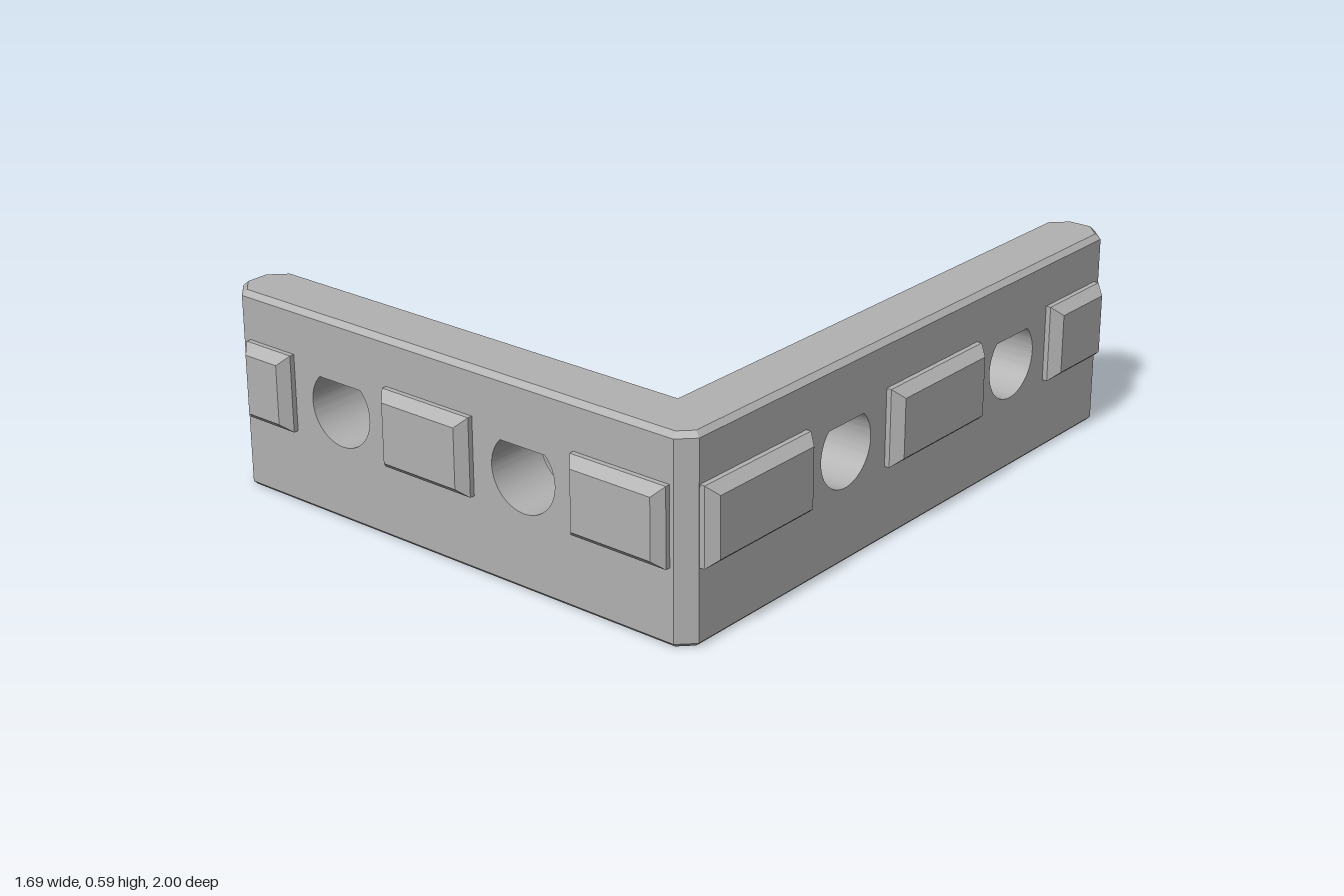
import * as THREE from 'three';
import { toCreasedNormals } from 'three/addons/utils/BufferGeometryUtils.js';

const HOLE_Y = 0.333, HOLE_R = 0.11, RELIEF_R = 0.2, THICK = 0.19;
const FRONT_HOLES = [-0.415, 0.253], SIDE_HOLES = [0.298, -0.49]; // x positions, z positions
const Y0 = 0.012, Y1 = 0.575, TOP = 0.59;

const grey = new THREE.MeshStandardMaterial({ color: 0xb2b2b2 });
grey.name = 'light grey';

function mesh(name, geometry) {
  const m = new THREE.Mesh(geometry, grey);
  m.name = name;
  return m;
}

function fromTriangles(pos, crease) {
  const g = new THREE.BufferGeometry();
  g.setAttribute('position', new THREE.Float32BufferAttribute(pos, 3));
  g.computeVertexNormals();
  return crease ? toCreasedNormals(g, crease) : g;
}

// Stacks matching [x, z] outlines at given heights into a closed solid
function loft(levels) {
  const pos = [];
  const rings = levels.map(([y, pts]) => {
    const v = pts.map(p => new THREE.Vector2(...p));
    if (THREE.ShapeUtils.isClockWise(v)) v.reverse();
    return v.map(p => [p.x, y, p.y]);
  });
  const n = rings[0].length;
  for (let l = 0; l + 1 < rings.length; l++)
    for (let i = 0; i < n; i++) {
      const j = (i + 1) % n, lo = rings[l], hi = rings[l + 1];
      pos.push(...lo[i], ...hi[i], ...hi[j], ...lo[i], ...hi[j], ...lo[j]);
    }
  const last = rings[rings.length - 1];
  const flat = r => r.map(p => new THREE.Vector2(p[0], p[2]));
  for (const [a, b, c] of THREE.ShapeUtils.triangulateShape(flat(rings[0]), []))
    pos.push(...rings[0][a], ...rings[0][b], ...rings[0][c]);
  for (const [a, b, c] of THREE.ShapeUtils.triangulateShape(flat(last), []))
    pos.push(...last[a], ...last[c], ...last[b]);
  return fromTriangles(pos);
}

// L-shaped footprint with chamfered corners, shrunk by d
function footprint(d) {
  const x0 = -0.845 + d, xi = 0.61 + d, x1 = 0.8 - d;
  const z0 = -1 + d, zi = 0.765 + d, z1 = 0.955 - d;
  const c = 0.055 - 0.586 * d, k = 0.045 - 0.586 * d;
  return [[x0 + c, zi], [xi, zi], [xi, z0 + c], [xi + c, z0], [x1 - c, z0], [x1, z0 + c],
    [x1, z1 - k], [x1 - k, z1], [x0 + c, z1], [x0, z1 - c], [x0, zi + c]];
}

// Wall plate with teardrop holes and raised lugs, outer face towards +z
function wall(name, u0, u1, outer, holes, lugs) {
  const group = new THREE.Group();
  group.name = name;
  const shape = new THREE.Shape([[u0, Y0], [u1, Y0], [u1, Y1], [u0, Y1]].map(p => new THREE.Vector2(...p)));
  for (const u of holes) {
    const hole = new THREE.Path();
    hole.moveTo(u, HOLE_Y + HOLE_R * Math.SQRT2);
    hole.absarc(u, HOLE_Y, HOLE_R, Math.PI * 0.75, Math.PI * 2.25, false);
    shape.holes.push(hole);
  }
  const plate = new THREE.ExtrudeGeometry(shape, { depth: THICK, bevelEnabled: false, curveSegments: 36 });
  plate.translate(0, 0, outer - THICK);
  group.add(mesh('plate', toCreasedNormals(plate, 0.5)));

  for (const [a, b] of lugs) {
    const rect = d => [[a + d, -0.45 + d], [b - d, -0.45 + d], [b - d, -0.222 - d], [a + d, -0.222 - d]];
    const g = loft([[-0.01, rect(0)], [0.015, rect(0)], [0.045, rect(0.026)]]);
    g.rotateX(Math.PI / 2).translate(0, 0, outer);
    group.add(mesh('lug', g));
  }
  return group;
}

// Curved corner web, hollowed by round reliefs in line with every hole
function gussetGeometry() {
  const curve = new THREE.SplineCurve([
    [-0.8, 0.773], [-0.76, 0.766], [-0.615, 0.735], [-0.447, 0.683], [-0.21, 0.582], [-0.07, 0.487],
    [0.08, 0.335], [0.165, 0.2], [0.29, -0.06], [0.405, -0.344], [0.537, -0.7], [0.61, -0.895], [0.65, -1]
  ].map(p => new THREE.Vector2(...p))).getPoints(600);
  const edgeZ = x => {
    const i = Math.max(1, curve.findIndex(p => p.x >= x)), a = curve[i - 1], b = curve[i];
    return a.y + (b.y - a.y) * (x - a.x) / (b.x - a.x);
  };
  const relief = (t, centres) => centres.reduce((h, c) =>
    Math.min(h, HOLE_Y - Math.sqrt(Math.max(0, RELIEF_R ** 2 - (t - c) ** 2))), HOLE_Y);
  const height = (x, z) => Math.min(relief(x, FRONT_HOLES), relief(z, SIDE_HOLES));

  // Sample lines gather at the relief rims
  const samples = (centres, lo, hi, step) => {
    const list = [];
    for (const c of centres)
      for (let k = -24; k <= 24; k++) list.push(c + RELIEF_R * Math.sin(k / 48 * Math.PI));
    for (let t = lo; t < hi; t += step)
      if (centres.every(c => Math.abs(t - c) > RELIEF_R + 0.002)) list.push(t);
    list.push(hi);
    return list.sort((a, b) => a - b);
  };
  const zMax = 0.79;
  const xs = samples(FRONT_HOLES, -0.76, 0.63, 0.008);
  const zs = samples(SIDE_HOLES, -0.95, zMax, 0.03);
  const columns = xs.map(x => {
    const e = edgeZ(x);
    return zs.map(z => { const w = Math.max(z, e); return [x, height(x, w), w]; });
  });

  const pos = [];
  const tri = (a, b, c) => {
    const area = (b[2] - a[2]) * (c[0] - a[0]) - (b[0] - a[0]) * (c[2] - a[2]);
    if (area > 1e-9) pos.push(...a, ...b, ...c);
  };
  for (let i = 0; i + 1 < xs.length; i++) {
    const p = columns[i], q = columns[i + 1];
    // Upper surface, split along the higher diagonal to keep ridges crisp
    for (let k = 0; k + 1 < zs.length; k++) {
      const a = p[k], b = p[k + 1], c = q[k + 1], d = q[k];
      if (a[1] + c[1] >= b[1] + d[1]) { tri(a, b, c); tri(a, c, d); }
      else { tri(a, b, d); tri(b, c, d); }
    }
    // Curved outer side and underside
    const low = v => [v[0], 0, v[2]];
    const a = low(p[0]), b = low(q[0]), c = [xs[i + 1], 0, zMax], d = [xs[i], 0, zMax];
    pos.push(...a, ...p[0], ...q[0], ...a, ...q[0], ...b);
    pos.push(...a, ...b, ...c, ...a, ...c, ...d);
  }
  return fromTriangles(pos, 0.5);
}

export function createModel() {
  const model = new THREE.Group();
  model.name = 'cornerBracket';

  // Two walls; the side wall is turned so its outer face looks along +x
  model.add(wall('frontWall', -0.79, 0.755, 0.955, FRONT_HOLES,
    [[-0.765, -0.592], [-0.237, 0.077], [0.428, 0.743]]));
  const side = wall('sideWall', -0.91, 0.945, 0.8, SIDE_HOLES.map(z => -z),
    [[-0.908, -0.474], [-0.12, 0.31], [0.663, 0.922]]);
  side.rotation.y = Math.PI / 2;
  model.add(side);

  // Chamfered wall ends and outer corner
  const post = (name, pts) => model.add(mesh(name, loft([[Y0, pts], [Y1, pts]])));
  post('frontWallEnd', [[-0.77, 0.765], [-0.79, 0.765], [-0.845, 0.82], [-0.845, 0.9], [-0.79, 0.955], [-0.77, 0.955]]);
  post('sideWallEnd', [[0.61, -0.93], [0.61, -0.945], [0.665, -1], [0.745, -1], [0.8, -0.945], [0.8, -0.93]]);
  post('outerCorner', [[0.7, 0.955], [0.755, 0.955], [0.8, 0.91], [0.8, 0.86], [0.7, 0.86]]);

  // Bevelled rims
  model.add(mesh('topRim', loft([[Y1, footprint(0)], [TOP, footprint(0.015)]])));
  model.add(mesh('bottomRim', loft([[0, footprint(0.012)], [Y0, footprint(0)]])));

  model.add(mesh('gusset', gussetGeometry()));
  return model;
}
